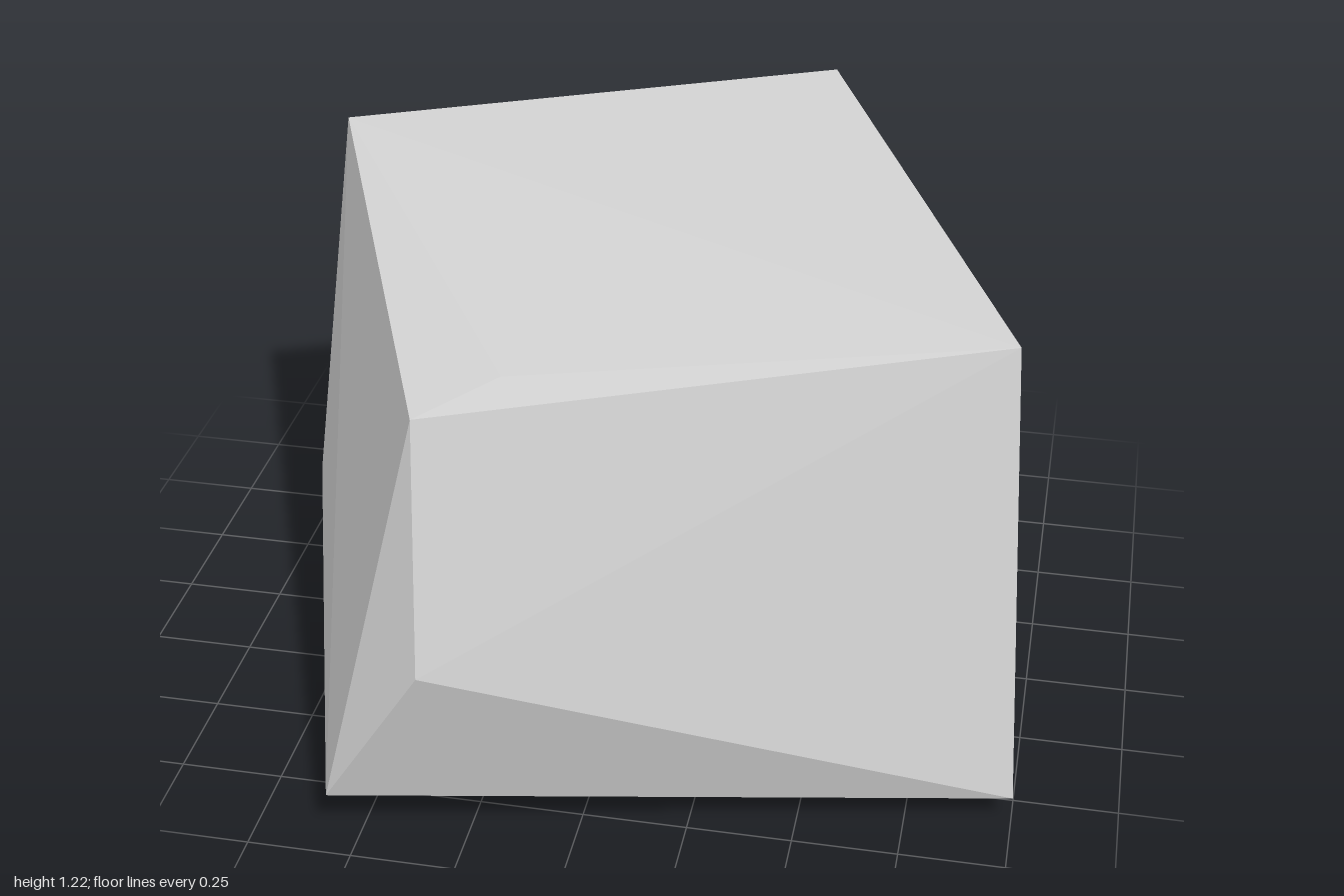
import * as THREE from 'three';
import { ConvexGeometry } from 'three/addons/geometries/ConvexGeometry.js';

export function createModel() {
  const group = new THREE.Group();
  group.name = 'rock';

  const stone = new THREE.MeshStandardMaterial({ color: 0xd2d2d2, flatShading: true });
  stone.name = 'pale stone grey';

  // Corners of the faceted boulder
  const corners = [
    // top rim, with a slight swell near the front
    [-0.875, 1.20, -0.47], [-0.335, 1.125, 0.88], [0.925, 1.18, 0.41], [0.335, 1.215, -1.0],
    [-0.18, 1.148, 0.70],
    // chipped front corner
    [-0.318, 0.53, 1.0], [-0.57, 0.12, 0.94],
    // lower rim
    [1.0, 0.073, 0.585], [-1.0, 0.153, -0.415],
    // underside
    [-0.36, 0.007, -0.35], [0.53, 0.0, -0.83],
  ].map((p) => new THREE.Vector3(...p));

  const boulder = new THREE.Mesh(new ConvexGeometry(corners), stone);
  boulder.name = 'boulder';
  group.add(boulder);
  return group;
}
